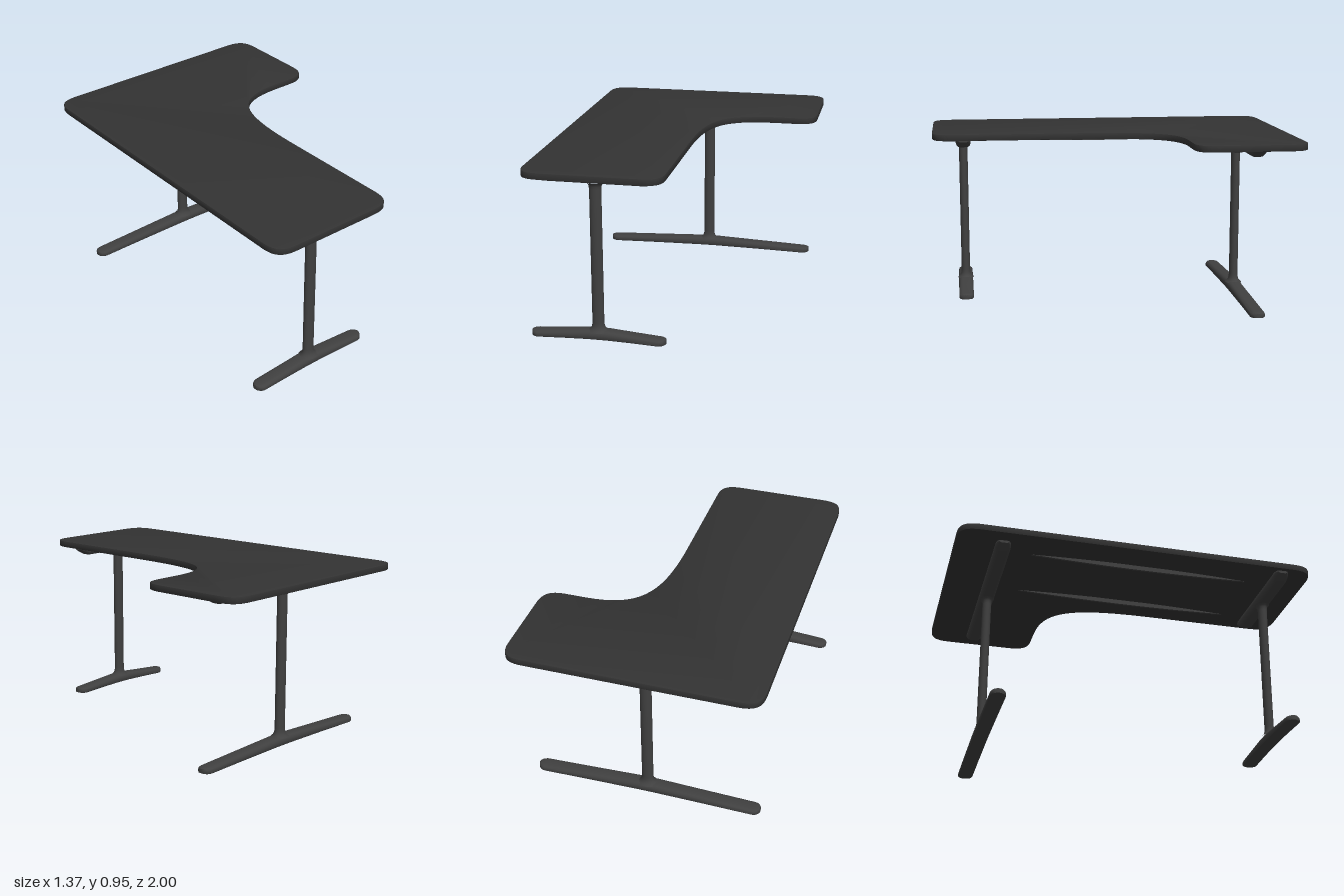
import * as THREE from 'three';
import { toCreasedNormals } from 'three/addons/utils/BufferGeometryUtils.js';

const topMat = new THREE.MeshStandardMaterial({ color: 0x333333 });
const legMat = new THREE.MeshStandardMaterial({ color: 0x404040 });

// Bar cross-section as [z, y] fractions: flat underside, rounded upper side
const SECTION = [
  [-0.92, 0], [0.92, 0], [1, 0.12], [1, 0.5], [0.92, 0.74], [0.75, 0.92], [0.5, 1],
  [-0.5, 1], [-0.75, 0.92], [-0.92, 0.74], [-1, 0.5], [-1, 0.12],
];

// Loft the section along x; each station is { x, w, y0, y1 }
function loftBar(stations, flip = false) {
  const ring = flip ? SECTION.map(([z, y]) => [z, 1 - y]).reverse() : SECTION;
  const n = ring.length, pos = [], idx = [];
  for (const s of stations)
    for (const [z, y] of ring) pos.push(s.x, s.y0 + (s.y1 - s.y0) * y, z * s.w);
  for (let i = 0; i < stations.length - 1; i++)
    for (let j = 0; j < n; j++) {
      const a = i * n + j, b = i * n + (j + 1) % n;
      idx.push(a, a + n, b, b, a + n, b + n);
    }
  const last = (stations.length - 1) * n;
  for (let j = 1; j < n - 1; j++) {
    idx.push(0, j, j + 1);
    idx.push(last, last + j + 1, last + j);
  }
  const g = new THREE.BufferGeometry();
  g.setAttribute('position', new THREE.Float32BufferAttribute(pos, 3));
  g.setIndex(idx);
  return toCreasedNormals(g, 0.7);
}

// Mirror half a list of stations (tip first) about x = 0
const mirrored = (half) => [...half, ...half.slice().reverse().map((s) => ({ ...s, x: -s.x }))];

// Foot: round-ended bar, thickest beneath the post
function footGeometry(L) {
  const r = 0.042, half = [];
  for (let i = 0; i <= 6; i++) {
    const a = (0.06 + 0.94 * i / 6) * Math.PI / 2;
    const soft = 0.006 * (1 - Math.sin(a));
    half.push({ x: -L + r * (1 - Math.cos(a)), w: r * Math.sin(a), y0: soft * 0.5, y1: 0.032 - soft });
  }
  half.push({ x: -L * 0.5, w: 0.042, y0: 0.006, y1: 0.044 });
  half.push({ x: -0.05, w: 0.042, y0: 0.01, y1: 0.056 });
  return loftBar(mirrored(half));
}

// Support beam under the top, ends sloping up to the slab
function beamGeometry(L) {
  return loftBar(mirrored([
    { x: -L, w: 0.026, y0: 0.905, y1: 0.921 },
    { x: -L + 0.012, w: 0.036, y0: 0.898, y1: 0.921 },
    { x: -L + 0.035, w: 0.042, y0: 0.884, y1: 0.921 },
    { x: -L + 0.065, w: 0.042, y0: 0.87, y1: 0.921 },
  ]), true);
}

// Oval post, flared into foot and beam
function postGeometry() {
  const profile = [
    [0.06, 0.048], [0.048, 0.057], [0.039, 0.066], [0.034, 0.08], [0.032, 0.1],
    [0.032, 0.835], [0.034, 0.852], [0.039, 0.864], [0.05, 0.873],
  ].map(([r, y]) => new THREE.Vector2(r, y));
  return new THREE.LatheGeometry(profile, 32).scale(1, 1, 0.78);
}

// L-shaped slab with soft corners and a sweeping inner curve (shape y = -z)
function topGeometry() {
  const b = 0.004, x0 = -0.685 + b, x1 = 0.685 - b, xi = 0.064 - b;
  const zBack = 1 - b, zFront = -1 + b, zi = 0.384 + b, r = 0.12, k = 0.03;
  const s = new THREE.Shape();
  s.moveTo(x0 + r, zFront);
  s.lineTo(xi - r, zFront);
  s.bezierCurveTo(xi - k, zFront, xi, zFront + k, xi, zFront + r);
  s.lineTo(xi, -0.2);
  s.bezierCurveTo(xi + 0.005, 0.25, 0.15, zi, 0.45, zi);
  s.lineTo(x1 - r, zi);
  s.bezierCurveTo(x1 - k, zi, x1, zi + k, x1, zi + r);
  s.lineTo(x1, zBack - r);
  s.bezierCurveTo(x1, zBack - k, x1 - k, zBack, x1 - r, zBack);
  s.lineTo(x0 + r, zBack);
  s.bezierCurveTo(x0 + k, zBack, x0, zBack - k, x0, zBack - r);
  s.lineTo(x0, zFront + r);
  s.bezierCurveTo(x0, zFront + k, x0 + k, zFront, x0 + r, zFront);
  const g = new THREE.ExtrudeGeometry(s, {
    depth: 0.036 - 2 * b, bevelSize: b, bevelThickness: b, bevelSegments: 2, curveSegments: 16,
  });
  g.rotateX(-Math.PI / 2).translate(0, 0.919 + b, 0);
  return toCreasedNormals(g, 0.6);
}

// Slim stiffening rail, lens-shaped in side view (shape x = -z)
function railGeometry() {
  const s = new THREE.Shape();
  s.moveTo(-0.65, 0.906);
  s.quadraticCurveTo(-0.035, 0.881, 0.58, 0.906);
  s.quadraticCurveTo(-0.035, 0.934, -0.65, 0.906);
  const g = new THREE.ExtrudeGeometry(s, { depth: 0.012, bevelEnabled: false, curveSegments: 20 });
  g.translate(0, 0, -0.006).rotateY(Math.PI / 2);
  return toCreasedNormals(g, 0.6);
}

export function createModel() {
  const model = new THREE.Group();
  model.name = 'cornerDesk';
  const add = (parent, name, geometry, material) => {
    const mesh = new THREE.Mesh(geometry, material);
    mesh.name = name;
    parent.add(mesh);
    return mesh;
  };

  add(model, 'tabletop', topGeometry(), topMat);

  // T-legs: the wide one at the back, the narrow one at the front
  const legs = [
    { name: 'frontLeg', x: -0.32, z: 0.825, foot: 0.368, beam: 0.34 },
    { name: 'backLeg', x: -0.008, z: -0.745, foot: 0.643, beam: 0.597 },
  ];
  for (const l of legs) {
    const leg = new THREE.Group();
    leg.name = l.name;
    leg.position.set(l.x, 0, l.z);
    add(leg, 'foot', footGeometry(l.foot), legMat);
    add(leg, 'post', postGeometry(), legMat);
    add(leg, 'supportBeam', beamGeometry(l.beam), legMat);
    model.add(leg);
  }

  // Pair of rails under the long wing
  for (const [name, x] of [['leftRail', -0.1], ['rightRail', -0.51]])
    add(model, name, railGeometry(), legMat).position.x = x;

  return model;
}
